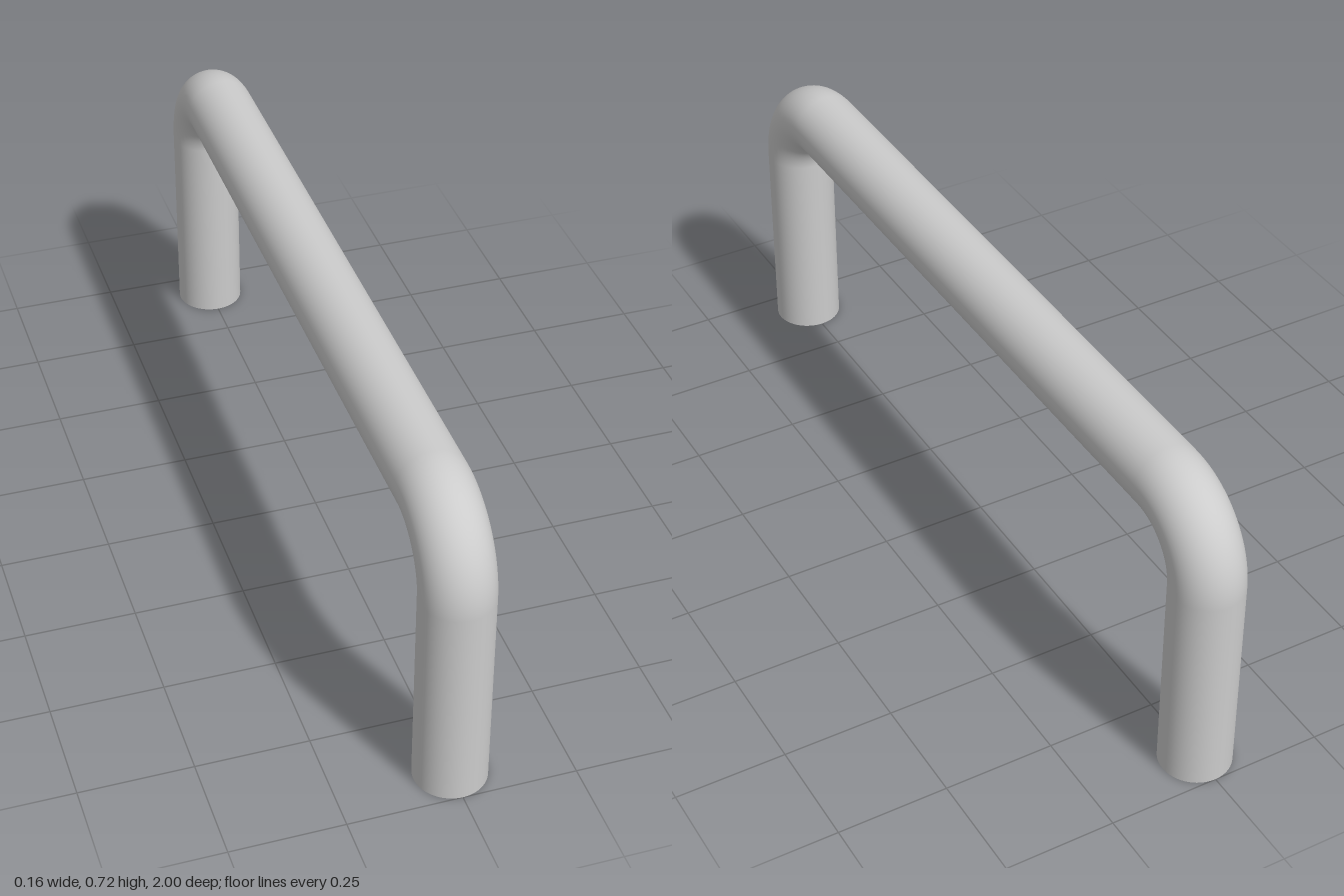
import * as THREE from 'three';

const R = 0.0795;        // bar radius
const BEND = 0.16;       // centreline radius of the bends
const LEG_Z = 1 - R;     // leg centreline
const TOP_Y = 0.72 - R;  // grip centreline
const SIDES = 48;

export function createModel() {
  const handle = new THREE.Group();
  handle.name = 'pullHandle';
  const material = new THREE.MeshStandardMaterial({ color: 0xcccccc });

  const add = (name, geometry, y, z) => {
    const mesh = new THREE.Mesh(geometry, material);
    mesh.name = name;
    mesh.position.set(0, y, z);
    handle.add(mesh);
  };

  const legHeight = TOP_Y - BEND;
  const bendZ = LEG_Z - BEND;

  // Straight grip between the bends
  add('grip', new THREE.CylinderGeometry(R, R, 2 * bendZ, SIDES, 1, true).rotateX(Math.PI / 2), TOP_Y, 0);

  for (const [end, s] of [['front', 1], ['back', -1]]) {
    // Quarter-turn bend from leg to grip
    add(end + 'Bend', new THREE.TorusGeometry(BEND, R, SIDES, 24, Math.PI / 2).rotateY(-s * Math.PI / 2), legHeight, s * bendZ);
    // Upright leg and its flat foot
    add(end + 'Leg', new THREE.CylinderGeometry(R, R, legHeight, SIDES, 1, true), legHeight / 2, s * LEG_Z);
    add(end + 'Foot', new THREE.CircleGeometry(R, SIDES).rotateX(Math.PI / 2), 0, s * LEG_Z);
  }
  return handle;
}
